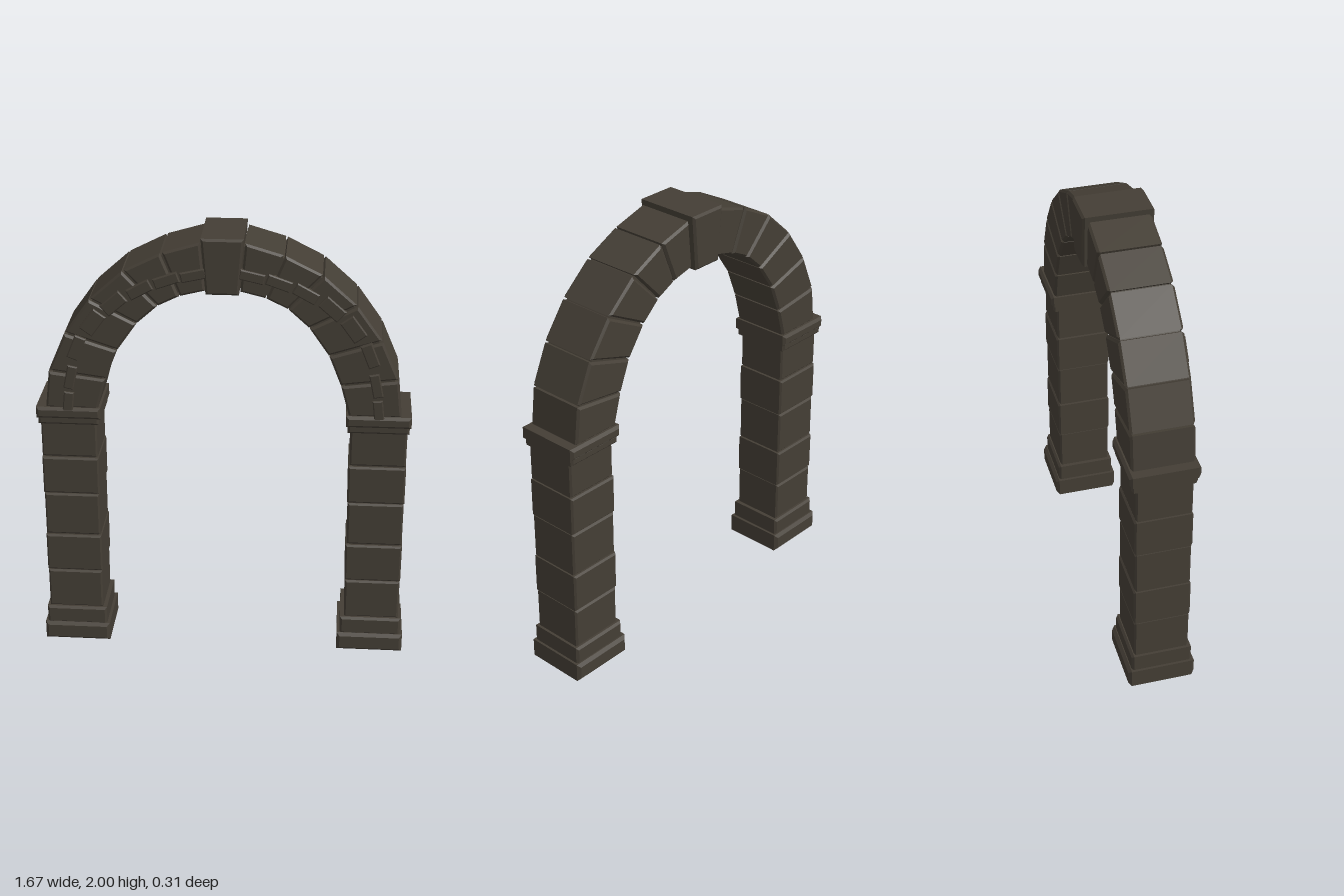
import * as THREE from 'three';

const stone = new THREE.MeshStandardMaterial({ color: 0x443e35 });
stone.name = 'darkStone';

// Chamfered block: a polygon in x/y extruded from z0 to z1
function block(name, pts, z0, z1, bevel = 0.01) {
  const shape = new THREE.Shape(pts.map(([x, y]) => new THREE.Vector2(x, y)));
  const geo = new THREE.ExtrudeGeometry(shape, {
    depth: z1 - z0 - 2 * bevel, bevelEnabled: bevel > 0, bevelThickness: bevel,
    bevelSize: bevel, bevelOffset: -bevel, bevelSegments: 1,
  });
  geo.translate(0, 0, z0 + bevel);
  const mesh = new THREE.Mesh(geo, stone);
  mesh.name = name;
  return mesh;
}

const rect = (x0, x1, y0, y1) => [[x0, y0], [x1, y0], [x1, y1], [x0, y1]];

// Arch joints: [outer x, outer y, inner x, inner y]
const joints = [
  [0.785, 1.195, 0.555, 1.195],
  [0.765, 1.375, 0.515, 1.342],
  [0.688, 1.555, 0.46, 1.48],
  [0.575, 1.714, 0.372, 1.607],
  [0.428, 1.846, 0.28, 1.69],
  [0.262, 1.93, 0.185, 1.737],
  [0.092, 1.98, 0.072, 1.765],
];

// Raised front bricks: [x, y, length, width, angle from x axis]
const bricks = [
  [0.682, 1.23, 0.10, 0.045, 1.68],
  [0.668, 1.35, 0.11, 0.045, 1.78],
  [0.637, 1.49, 0.11, 0.052, 1.95],
  [0.562, 1.61, 0.11, 0.068, 2.2],
  [0.468, 1.70, 0.11, 0.062, 2.42],
  [0.355, 1.765, 0.11, 0.052, 2.64],
  [0.24, 1.81, 0.11, 0.048, 2.8],
  [0.125, 1.835, 0.11, 0.045, 2.92],
];

function side(s) {
  const g = new THREE.Group();
  g.name = s > 0 ? 'leftSide' : 'rightSide';
  const add = (name, pts, z0, z1, bevel) =>
    g.add(block(name, pts.map(([x, y]) => [s * x, y]), z0, z1, bevel));

  // Stepped base
  add('plinth', rect(0.533, 0.837, 0.004, 0.092), -0.152, 0.154, 0.014);
  add('baseStep', rect(0.546, 0.826, 0.085, 0.172), -0.135, 0.14);

  // Pillar of stacked blocks, slightly uneven
  const rows = [0.168, 0.365, 0.553, 0.765, 0.95, 1.135];
  for (let i = 0; i < rows.length - 1; i++) {
    const d = i % 2 ? 0.004 : 0;
    add('pillarBlock', rect(0.564 - d, 0.814 + d / 2, rows[i] + 0.003, rows[i + 1] - 0.003),
      -0.122 - d, 0.126 + d, 0.008);
  }
  add('pillarCore', rect(0.575, 0.803, 0.1, 1.16), -0.11, 0.114, 0);

  // Two-step capital
  add('capitalNeck', rect(0.55, 0.822, 1.118, 1.162), -0.143, 0.143);
  add('capital', rect(0.542, 0.829, 1.15, 1.203), -0.152, 0.154, 0.012);

  // Arch stones with narrow joints
  for (let i = 0; i < joints.length - 1; i++) {
    const a = joints[i], b = joints[i + 1], t = 0.025;
    const mix = (p, q, k) => p + (q - p) * k;
    const at = (k, o) => [mix(a[o], b[o], k), mix(a[o + 1], b[o + 1], k)];
    add('archStone', [at(t, 0), at(1 - t, 0), at(1 - t, 2), at(t, 2)], -0.135, 0.141);
    // Recessed mortar behind the joints
    const inset = (j, k) => [mix(j[0], j[2], k), mix(j[1], j[3], k)];
    add('archCore', [inset(a, 0.07), inset(b, 0.07), inset(b, 0.93), inset(a, 0.93)],
      -0.122, 0.128, 0);
  }

  // Band of small bricks along the front of the arch
  for (const [x, y, len, wid, ang] of bricks) {
    const c = Math.cos(ang), n = Math.sin(ang);
    add('trimBrick', rect(-len / 2, len / 2, -wid / 2, wid / 2)
      .map(([u, v]) => [x + u * c - v * n, y + u * n + v * c]), 0.12, 0.152, 0.005);
  }
  return g;
}

export function createModel() {
  const arch = new THREE.Group();
  arch.name = 'stoneArch';
  arch.add(side(1), side(-1));
  arch.add(block('keystone',
    [[-0.072, 1.752], [0.07, 1.752], [0.09, 2], [-0.092, 2]], -0.154, 0.156));
  return arch;
}
